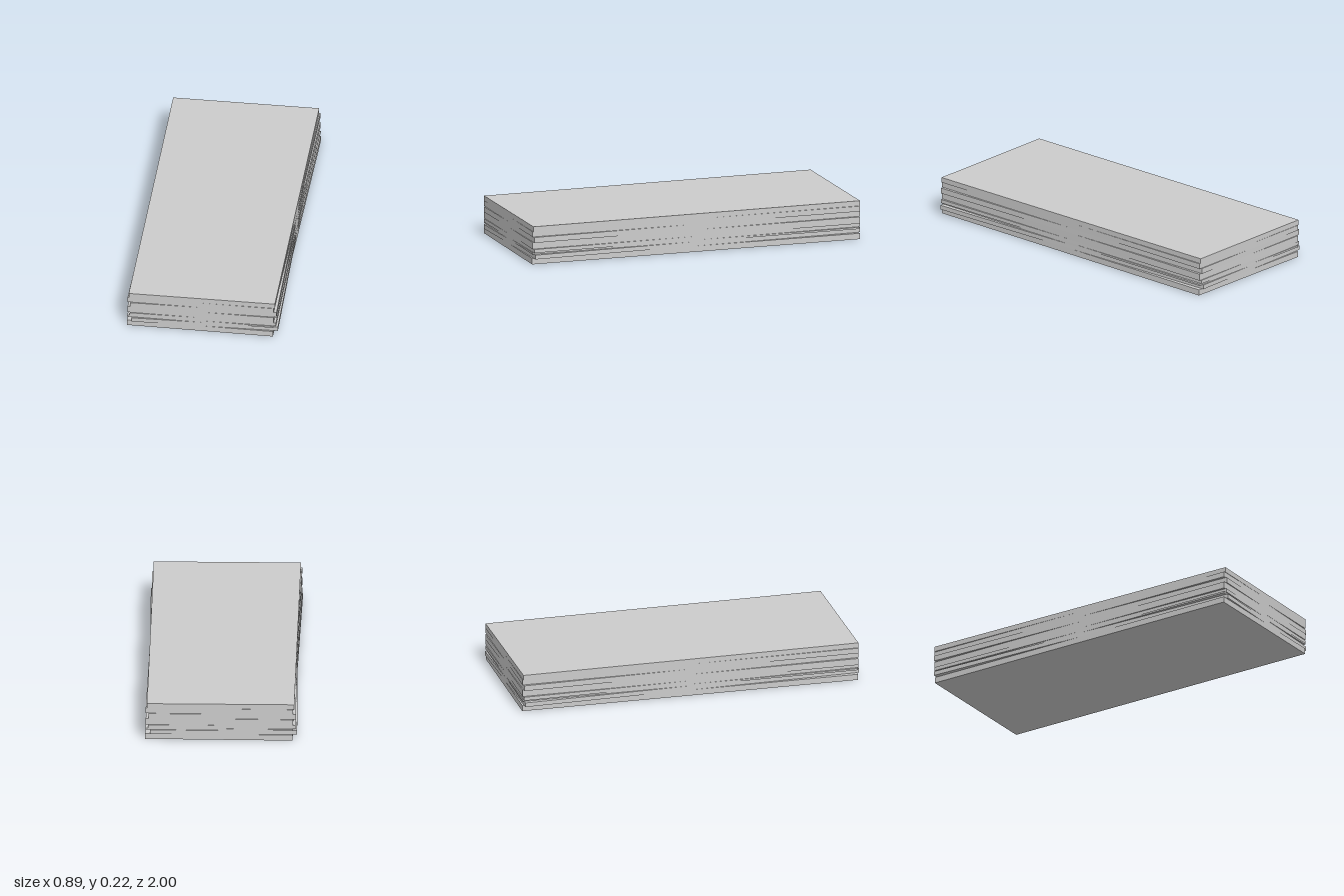
import * as THREE from 'three';

// Each sheet of the stack: [bottom, top, twist about y in radians]
const SHEETS = [
  [0, 0.034, 0],
  [0.034, 0.059, 0.0275],
  [0.059, 0.069, 0.001],
  [0.069, 0.09, 0.0165],
  [0.09, 0.129, 0.003],
  [0.129, 0.161, 0.0195],
  [0.161, 0.192, 0.003],
  [0.192, 0.222, 0.0105],
];
const WIDTH = 0.84;
const LENGTH = 1.977;

export function createModel() {
  const stack = new THREE.Group();
  stack.name = 'slabStack';
  const material = new THREE.MeshStandardMaterial({ color: 0xcccccc, flatShading: true });

  // Equal slabs of varying thickness, each turned slightly on the pile
  SHEETS.forEach(([bottom, top, twist], i) => {
    const slab = new THREE.Mesh(new THREE.BoxGeometry(WIDTH, top - bottom, LENGTH), material);
    slab.name = `slab${i + 1}`;
    slab.position.y = (bottom + top) / 2;
    slab.rotation.y = twist;
    stack.add(slab);
  });
  return stack;
}
